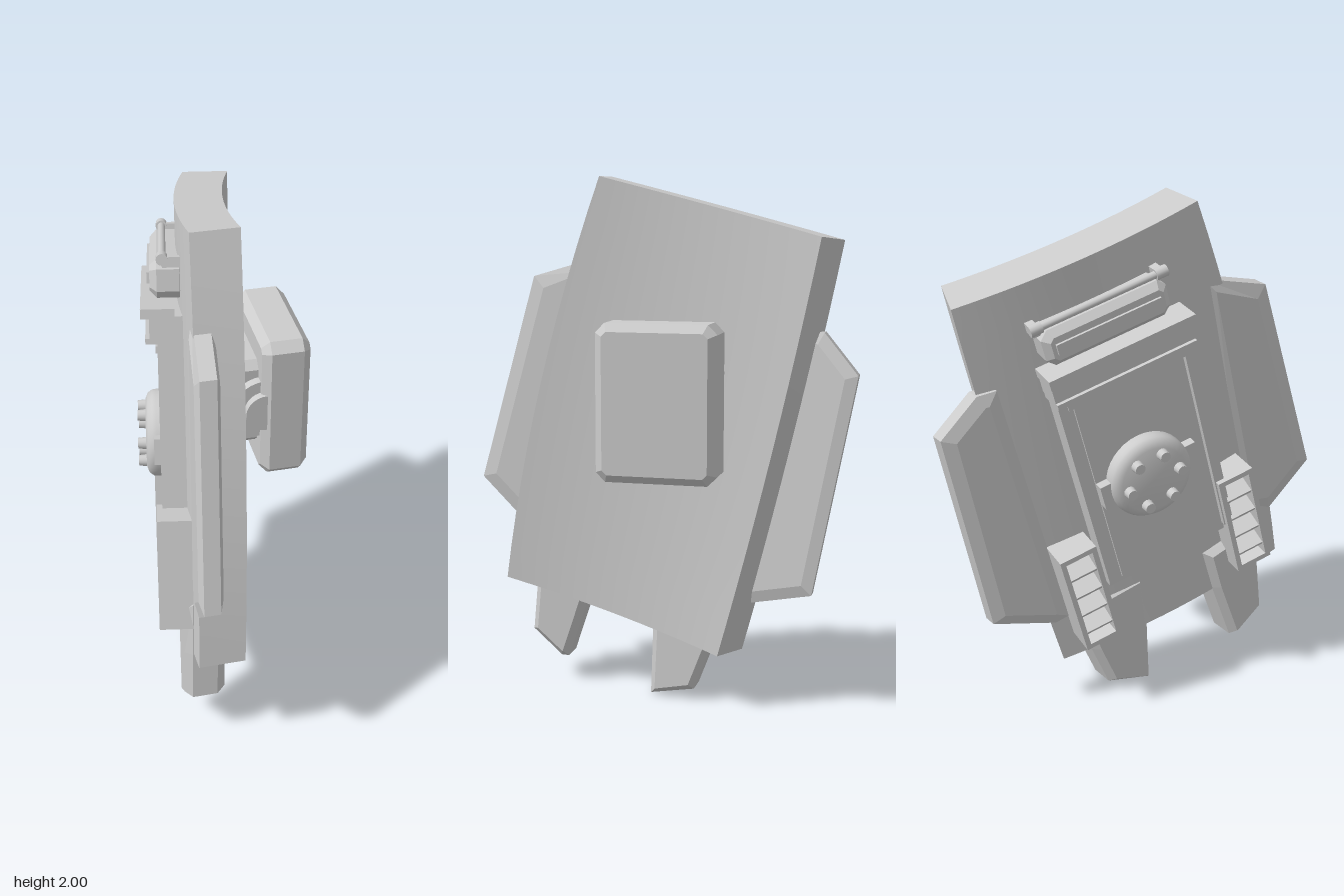
import * as THREE from 'three';
import { toCreasedNormals } from 'three/addons/utils/BufferGeometryUtils.js';

const grey = new THREE.MeshStandardMaterial({ color: 0xcccccc });
grey.name = 'plain grey';

function add(parent, name, geometry) {
  const mesh = new THREE.Mesh(geometry, grey);
  mesh.name = name;
  parent.add(mesh);
  return mesh;
}

// Curved slab: an arc cross-section swept from top to bottom
function shieldGeometry() {
  const NU = 16, NV = 12, row = 2 * (NU + 1), pos = [], idx = [];
  const point = (u, t, outer) => {
    const th = 0.36 * u, R = outer ? 2.595 : 2.42, s = -R * Math.sin(th);
    const bulge = 4 * t * (1 - t) * (0.045 * (1 - u) - 0.015 * u);
    return [
      (outer ? -0.14 : 0.035) + R * (1 - Math.cos(th)) - 0.065 * t,
      2 + s * 0.249 - 1.57 * t,
      0.22 + s * (1 + 0.04 * t) + 0.41 * t + bulge,
    ];
  };
  for (let i = 0; i <= NV; i++) {
    for (let j = 0; j <= NU; j++) pos.push(...point(j / NU, i / NV, true));
    for (let j = NU; j >= 0; j--) pos.push(...point(j / NU, i / NV, false));
  }
  for (let i = 0; i < NV; i++) {
    for (let j = 0; j < row; j++) {
      const a = i * row + j, b = i * row + (j + 1) % row;
      idx.push(a, b, a + row, b, b + row, a + row);
    }
  }
  // top and bottom ends
  for (let k = 0; k < NU; k++) {
    const o = k, p = k + 1, n = row - 1 - k, m = n - 1, B = NV * row;
    idx.push(o, n, p, p, n, m);
    idx.push(B + o, B + p, B + n, B + p, B + m, B + n);
  }
  const g = new THREE.BufferGeometry();
  g.setAttribute('position', new THREE.Float32BufferAttribute(pos, 3));
  g.setIndex(idx);
  return toCreasedNormals(g, 0.5);
}

// Bevelled plate from a [z, y] outline, its centre plane placed by xAt(z, y)
function plateGeometry(outline, thickness, bevel, inset, xAt) {
  const shape = new THREE.Shape(outline.map(([z, y]) => new THREE.Vector2(-z, y)));
  const depth = thickness - 2 * bevel;
  const g = new THREE.ExtrudeGeometry(shape, {
    depth, bevelEnabled: true, bevelThickness: bevel, bevelSize: inset, bevelOffset: -inset, bevelSegments: 1,
  });
  g.translate(0, 0, -depth / 2);
  g.rotateY(Math.PI / 2);
  const p = g.attributes.position;
  for (let i = 0; i < p.count; i++) p.setX(i, p.getX(i) + xAt(p.getZ(i), p.getY(i)));
  g.computeVertexNormals();
  return g;
}

// Rectangle outline with cut corners
function cutRect(z0, z1, y0, y1, c) {
  return [[z0 + c, y0], [z1 - c, y0], [z1, y0 + c], [z1, y1 - c],
    [z1 - c, y1], [z0 + c, y1], [z0, y1 - c], [z0, y0 + c]];
}

// Box in the equipment frame: n = outward, l = along the length, w = across
function slab(parent, name, n0, n1, l0, l1, w0, w1) {
  const m = add(parent, name, new THREE.BoxGeometry(n1 - n0, l1 - l0, w1 - w0));
  m.position.set(-(n0 + n1) / 2, (l0 + l1) / 2, (w0 + w1) / 2);
  return m;
}

function louvreBox(parent, w, top, out) {
  const g = new THREE.Group();
  g.name = 'louvreBox';
  parent.add(g);
  const bottom = top - 0.44, h = 0.075;
  slab(g, 'louvreBack', -0.06, out - 0.07, bottom, top, w - h, w + h);
  for (const s of [-1, 1]) {
    const c = w + s * (h - 0.01);
    slab(g, 'louvreSide', -0.04, out, bottom, top, c - 0.01, c + 0.01);
  }
  slab(g, 'louvreTop', -0.04, out, top - 0.02, top, w - h, w + h);
  slab(g, 'louvreBottom', -0.04, out, bottom, bottom + 0.02, w - h, w + h);
  for (let i = 1; i < 5; i++) {
    const l = bottom + (top - bottom) * i / 5;
    slab(g, 'louvreSlat', out - 0.09, out - 0.005, l - 0.008, l + 0.008, w - h + 0.01, w + h - 0.01).rotation.z = 0.5;
  }
}

function equipment() {
  const g = new THREE.Group();
  g.name = 'outerEquipment';
  const L = new THREE.Vector3(0.04, 0.97, -0.24).normalize();
  const X = new THREE.Vector3().crossVectors(L, new THREE.Vector3(-0.18, 0.235, 0.955)).normalize();
  const W = new THREE.Vector3().crossVectors(X, L);
  g.quaternion.setFromRotationMatrix(new THREE.Matrix4().makeBasis(X, L, W));
  g.position.set(-0.125, 1.093, -0.068);

  // back plate with raised rails
  slab(g, 'backPlate', -0.06, 0.05, -0.5, 0.42, -0.23, 0.31);
  slab(g, 'innerPanel', 0.04, 0.06, -0.48, 0.32, -0.175, 0.255);
  for (const w of [-0.215, 0.295]) slab(g, 'sideRail', -0.05, 0.073, -0.47, 0.42, w - 0.02, w + 0.02);

  // clamp bar
  slab(g, 'clampFlange', 0.01, 0.13, 0.465, 0.5, -0.255, 0.325);
  slab(g, 'clampBody', -0.05, 0.1, 0.39, 0.47, -0.245, 0.315);
  slab(g, 'clampLip', 0.0, 0.115, 0.37, 0.39, -0.245, 0.315);
  slab(g, 'crossRail', 0.02, 0.08, 0.325, 0.35, -0.2, 0.28);

  // upper pack and pipe
  const pack = plateGeometry(cutRect(-0.225, 0.265, 0.515, 0.655, 0.03), 0.13, 0.025, 0.025, () => -0.03);
  add(g, 'upperPack', pack);
  slab(g, 'packRidge', 0.07, 0.105, 0.565, 0.605, -0.185, 0.225);
  const pipe = add(g, 'pipe', new THREE.CylinderGeometry(0.014, 0.014, 0.49, 12).rotateX(Math.PI / 2));
  pipe.position.set(-0.05, 0.665, 0.02);
  for (const w of [-0.225, 0.265]) {
    const knob = add(g, 'pipeKnob', new THREE.CylinderGeometry(0.021, 0.021, 0.045, 12).rotateX(Math.PI / 2));
    knob.position.set(-0.05, 0.665, w);
    slab(g, 'pipeBracket', -0.03, 0.05, 0.635, 0.672, w - 0.015, w + 0.015);
  }

  // round hub with lugs and six bolts
  const hub = new THREE.Group();
  hub.name = 'hub';
  hub.position.set(-0.012, -0.075, 0.025);
  g.add(hub);
  const profile = [[0, 0.115], [0.13, 0.115], [0.152, 0.106], [0.163, 0.09], [0.165, 0.075], [0.165, 0.04]]
    .reverse().map(([r, y]) => new THREE.Vector2(r, y));
  add(hub, 'hubDisc', toCreasedNormals(new THREE.LatheGeometry(profile, 36).rotateZ(Math.PI / 2), 0.6));
  slab(hub, 'hubLugs', 0.03, 0.085, -0.05, 0.05, -0.2, 0.2);
  for (let i = 0; i < 6; i++) {
    const a = (i + 0.5) * Math.PI / 3;
    const bolt = add(hub, 'bolt', new THREE.CylinderGeometry(0.02, 0.024, 0.04, 12).rotateZ(Math.PI / 2));
    bolt.position.set(-0.125, 0.105 * Math.cos(a), 0.105 * Math.sin(a));
  }

  louvreBox(g, 0.355, -0.26, 0.095);
  louvreBox(g, -0.33, -0.25, 0.105);
  return g;
}

export function createModel() {
  const model = new THREE.Group();
  model.name = 'shieldUnit';
  add(model, 'shield', shieldGeometry());

  // side wings
  add(model, 'frontWing', plateGeometry(
    [[0.25, 1.7], [0.53, 1.62], [0.77, 0.81], [0.59, 0.64], [0.46, 0.66]], 0.09, 0.015, 0.055,
    (z, y) => -0.185 - 0.12 * (z - 0.77) + 0.014 * (y - 0.81)));
  add(model, 'backWing', plateGeometry(
    [[-0.56, 1.45], [-0.63, 1.44], [-0.76, 1.29], [-0.6, 0.46], [-0.36, 0.4], [-0.31, 0.42]], 0.08, 0.015, 0.045,
    (z, y) => 0.065 - 0.28 * (z + 0.76) - 0.027 * (y - 1.29)));

  // lower fins
  add(model, 'frontFin', plateGeometry(
    [[0.5, 0.62], [0.53, 0.4], [0.55, 0.2], [0.43, 0.1], [0.4, 0.1], [0.31, 0.36], [0.26, 0.54]], 0.155, 0.03, 0.025,
    (z, y) => -0.155 - 0.1 * (z - 0.47) + 0.02 * (y - 0.3)));
  add(model, 'backFin', plateGeometry(
    [[0, 0.52], [0.03, 0.27], [0.04, 0], [-0.14, 0.04], [-0.21, 0.22], [-0.28, 0.44]], 0.15, 0.03, 0.025,
    (z, y) => -0.055 - 0.18 * (z + 0.07) + 0.01 * (y - 0.1)));

  // inner mount and arm block
  add(model, 'mountBase', plateGeometry(cutRect(-0.26, 0.09, 1.01, 1.37, 0.03), 0.16, 0.02, 0.02, () => 0.1));
  for (const [r, z] of [[0.12, 0.125], [0.075, 0.155]]) {
    const pivot = add(model, 'pivot', new THREE.CylinderGeometry(r, r, z + 0.27, 28).rotateX(Math.PI / 2));
    pivot.position.set(0.155, 1.19, (z - 0.27) / 2);
  }
  add(model, 'armBlock', plateGeometry(cutRect(-0.285, 0.165, 0.9, 1.48, 0.035), 0.18, 0.03, 0.03, () => 0.23));

  model.add(equipment());
  return model;
}
